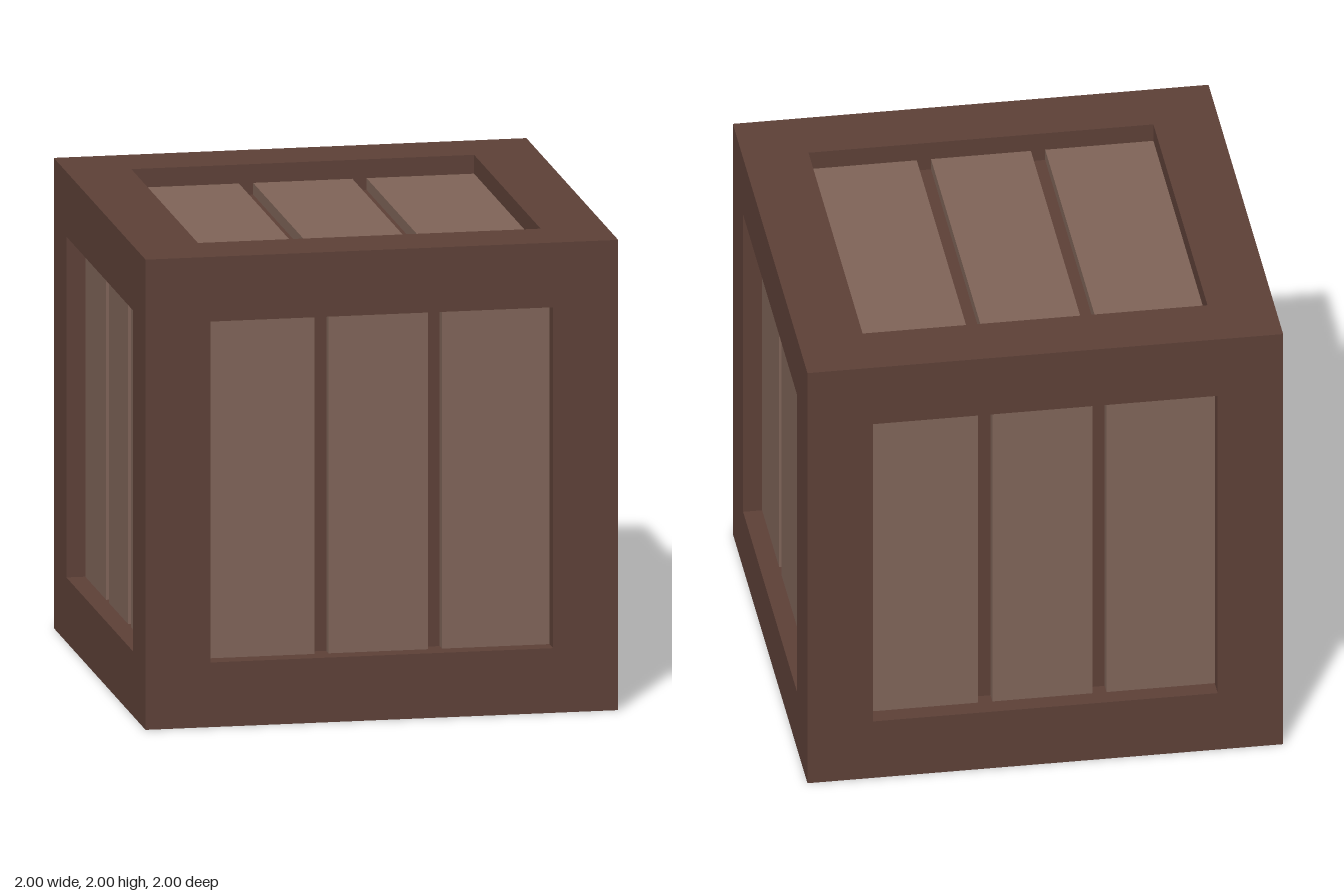
import * as THREE from 'three';

const HALF = 1;           // half the crate's width
const BEAM = 0.275;       // square beam thickness
const OPEN = HALF - BEAM; // half the opening in each side
const SLAT_FACE = 0.92;   // distance of slat faces from the centre
const CORE_FACE = 0.87;   // distance of groove floors from the centre

const frameMaterial = new THREE.MeshStandardMaterial({ color: 0x5d4037 });
const slatMaterial = new THREE.MeshStandardMaterial({ color: 0x7f6458 });

function box(name, material, size, position) {
  const mesh = new THREE.Mesh(new THREE.BoxGeometry(...size), material);
  mesh.name = name;
  mesh.position.set(...position);
  return mesh;
}

// Three upright slats of one side, facing +z
function createSlats() {
  const side = new THREE.Group();
  const depth = SLAT_FACE - CORE_FACE;
  for (const [from, to] of [[-OPEN, -0.27], [-0.21, 0.21], [0.27, OPEN]]) {
    side.add(box('slat', slatMaterial, [to - from, 2 * OPEN, depth],
      [(from + to) / 2, 0, CORE_FACE + depth / 2]));
  }
  return side;
}

export function createModel() {
  const crate = new THREE.Group();
  crate.name = 'crate';
  const body = new THREE.Group();
  body.name = 'body';
  body.position.y = HALF;
  crate.add(body);

  // Corner posts, with rails fitted between them
  const c = HALF - BEAM / 2;
  for (const a of [-c, c]) {
    for (const b of [-c, c]) {
      body.add(box('cornerPost', frameMaterial, [BEAM, 2 * HALF, BEAM], [a, 0, b]));
      body.add(box('crossRail', frameMaterial, [2 * OPEN, BEAM, BEAM], [0, a, b]));
      body.add(box('sideRail', frameMaterial, [BEAM, BEAM, 2 * OPEN], [a, b, 0]));
    }
  }

  // Dark inner box that forms the groove floors
  const core = 2 * CORE_FACE;
  body.add(box('innerBox', frameMaterial, [core, core, core], [0, 0, 0]));

  // Slats on all six sides
  const q = Math.PI / 2;
  const sides = {
    frontSlats: [0, 0], leftSlats: [0, q], backSlats: [0, 2 * q],
    rightSlats: [0, -q], topSlats: [-q, 0], bottomSlats: [q, 0],
  };
  for (const [name, [rx, ry]] of Object.entries(sides)) {
    const slats = createSlats();
    slats.name = name;
    slats.rotation.set(rx, ry, 0);
    body.add(slats);
  }
  return crate;
}
